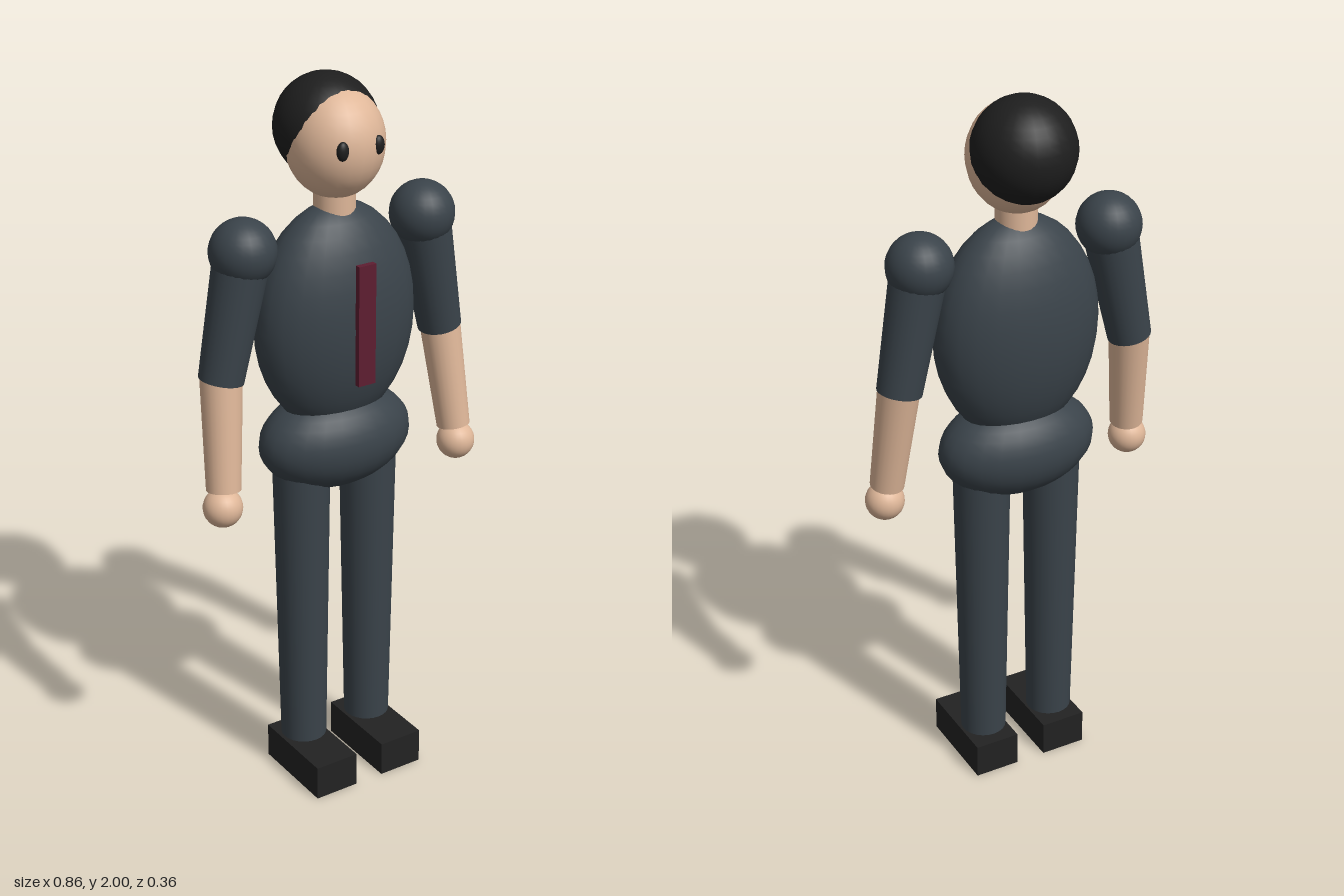
import * as THREE from 'three';

const flat = (name, color) => {
  const m = new THREE.MeshStandardMaterial({ color });
  m.name = name;
  return m;
};

export function createModel() {
  const suit = flat('charcoal suit', 0x3a434a);
  const skin = flat('skin', 0xdfb799);
  const black = flat('hair black', 0x1e1e1e);
  const leather = flat('shoe black', 0x222222);
  const wine = flat('wine red', 0x5e1e31);

  const model = new THREE.Group();
  model.name = 'standingMan';

  const add = (name, geometry, material, pos = [0, 0, 0]) => {
    const mesh = new THREE.Mesh(geometry, material);
    mesh.name = name;
    mesh.position.set(...pos);
    model.add(mesh);
    return mesh;
  };
  const ellipsoid = (name, material, pos, [rx, ry, rz]) =>
    add(name, new THREE.SphereGeometry(1, 24, 18).scale(rx, ry, rz), material, pos);

  // Tapered limb running from point a down to point b
  const limb = (name, material, a, b, ra, rb) => {
    const top = new THREE.Vector3(...a), bottom = new THREE.Vector3(...b);
    const dir = top.clone().sub(bottom);
    const mesh = add(name, new THREE.CylinderGeometry(ra, rb, dir.length(), 24), material);
    mesh.position.copy(top).add(bottom).multiplyScalar(0.5);
    mesh.quaternion.setFromUnitVectors(new THREE.Vector3(0, 1, 0), dir.normalize());
  };

  // Trunk
  ellipsoid('torso', suit, [0, 1.36, 0], [0.235, 0.315, 0.14]);
  ellipsoid('pelvis', suit, [0, 1.016, 0], [0.225, 0.14, 0.14]);
  add('tie', new THREE.BoxGeometry(0.052, 0.33, 0.016), wine, [0, 1.38, 0.145]);

  // Head
  limb('neck', skin, [0, 1.73, 0], [0, 1.64, 0], 0.055, 0.055);
  ellipsoid('head', skin, [0, 1.832, 0], [0.129, 0.147, 0.133]);
  ellipsoid('hair', black, [0, 1.862, -0.04], [0.136, 0.138, 0.138]);

  // Mirrored parts
  for (const [side, s] of [['left', 1], ['right', -1]]) {
    ellipsoid(side + 'Eye', black, [s * 0.053, 1.842, 0.117], [0.017, 0.025, 0.013]);

    ellipsoid(side + 'Shoulder', suit, [s * 0.275, 1.59, 0], [0.088, 0.088, 0.088]);
    limb(side + 'UpperArm', suit, [s * 0.275, 1.59, 0], [s * 0.344, 1.255, -0.005], 0.075, 0.06);
    limb(side + 'Forearm', skin, [s * 0.344, 1.27, -0.005], [s * 0.369, 0.965, 0.037], 0.056, 0.046);
    ellipsoid(side + 'Hand', skin, [s * 0.375, 0.917, 0.041], [0.053, 0.053, 0.053]);

    limb(side + 'Leg', suit, [s * 0.107, 0.95, 0], [s * 0.107, 0.11, 0.003], 0.078, 0.064);
    add(side + 'Shoe', new THREE.BoxGeometry(0.13, 0.1, 0.262), leather, [s * 0.108, 0.05, 0.046]);
  }
  return model;
}
